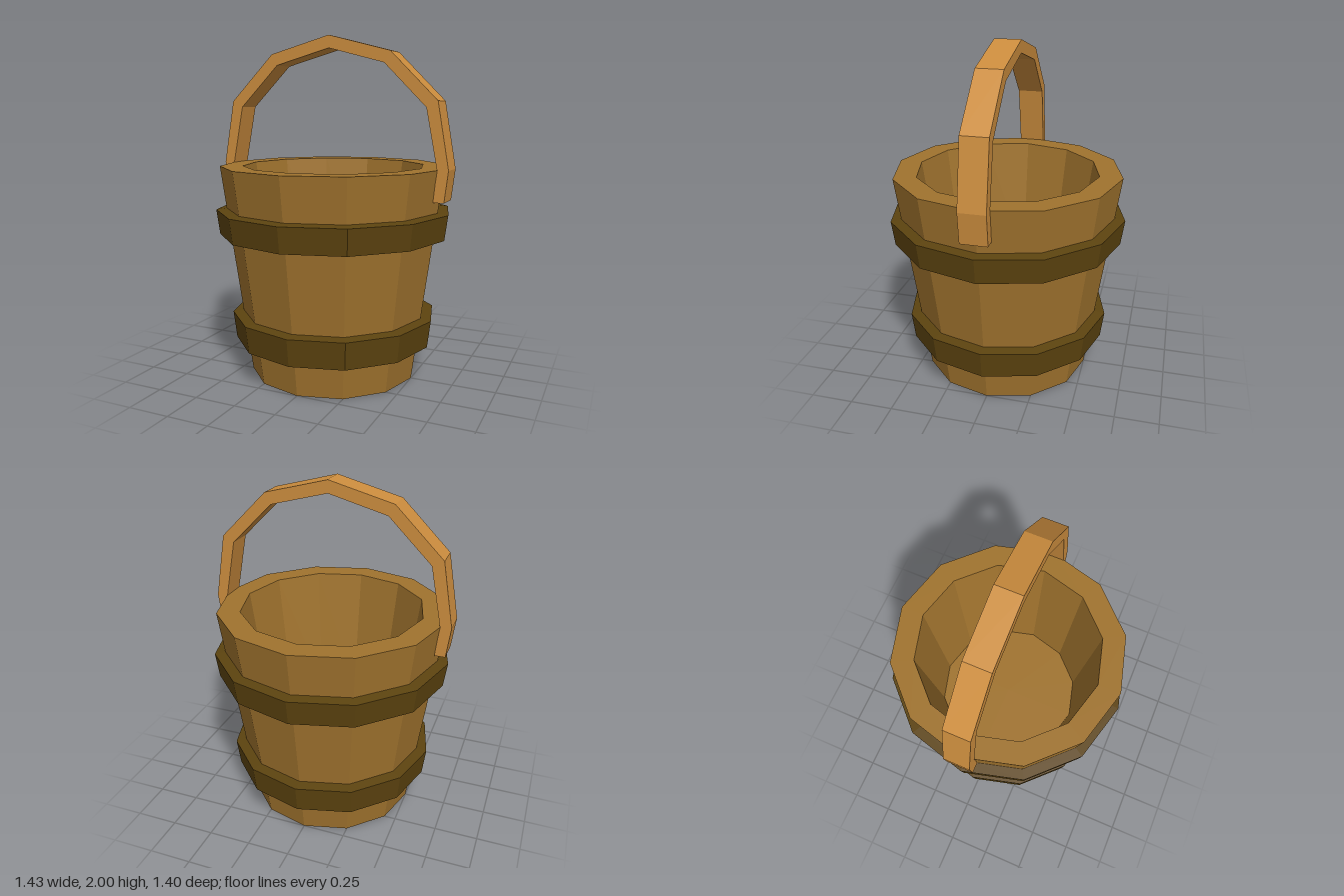
import * as THREE from 'three';

const SIDES = 12;

function material(name, color) {
  const m = new THREE.MeshStandardMaterial({ color });
  m.name = name;
  return m;
}

// Faceted twelve-sided ring or vessel from [radius, y] pairs, listed bottom to top on the outside
function faceted(name, profile, mat) {
  const points = profile.map(([r, y]) => new THREE.Vector2(r, y));
  const geometry = new THREE.LatheGeometry(points, SIDES).toNonIndexed();
  geometry.computeVertexNormals();
  const mesh = new THREE.Mesh(geometry, mat);
  mesh.name = name;
  return mesh;
}

export function createModel() {
  const wood = material('wood', 0xa0732e);
  const darkWood = material('dark wood', 0x5c430f);
  const lightWood = material('light wood', 0xcc8d3e);
  for (const m of [wood, darkWood, lightWood]) m.flatShading = true;

  const model = new THREE.Group();
  model.name = 'bucket';

  // Vessel: underside, flared wall, rim, inner wall and floor
  model.add(faceted('vessel', [
    [0, 0], [0.5, 0], [0.675, 1.25], [0.54, 1.25], [0.435, 0.5], [0, 0.5],
  ], wood));

  // Two hoops following the flare of the wall
  const hoops = [['lowerHoop', 0.205, 0.365, 0.595, 0.615], ['upperHoop', 0.845, 0.992, 0.682, 0.702]];
  for (const [name, y0, y1, r0, r1] of hoops) {
    const wall = (y) => 0.495 + 0.14 * y;
    model.add(faceted(name, [
      [wall(y0), y0 + 0.005], [r0, y0], [r1, y1], [wall(y1), y1 + 0.01],
    ], darkWood));
  }

  // Handle: faceted arch, one half mirrored to the other
  const outer = [[0.695, 1.07], [0.717, 1.25], [0.65, 1.627], [0.373, 1.902]];
  const inner = [[0.633, 1.07], [0.652, 1.25], [0.585, 1.592], [0.338, 1.837]];
  const mirror = (list) => list.map(([x, y]) => [-x, y]).reverse();
  const outline = [
    ...outer, [0, 2], ...mirror(outer),
    ...inner.map(([x, y]) => [-x, y]), [0, 1.927], ...[...inner].reverse(),
  ];
  const shape = new THREE.Shape(outline.map(([x, y]) => new THREE.Vector2(x, y)));
  const arch = new THREE.ExtrudeGeometry(shape, { depth: 0.154, bevelEnabled: false });
  arch.translate(0, 0, -0.077);
  const handle = new THREE.Mesh(arch, lightWood);
  handle.name = 'handle';
  model.add(handle);

  return model;
}
